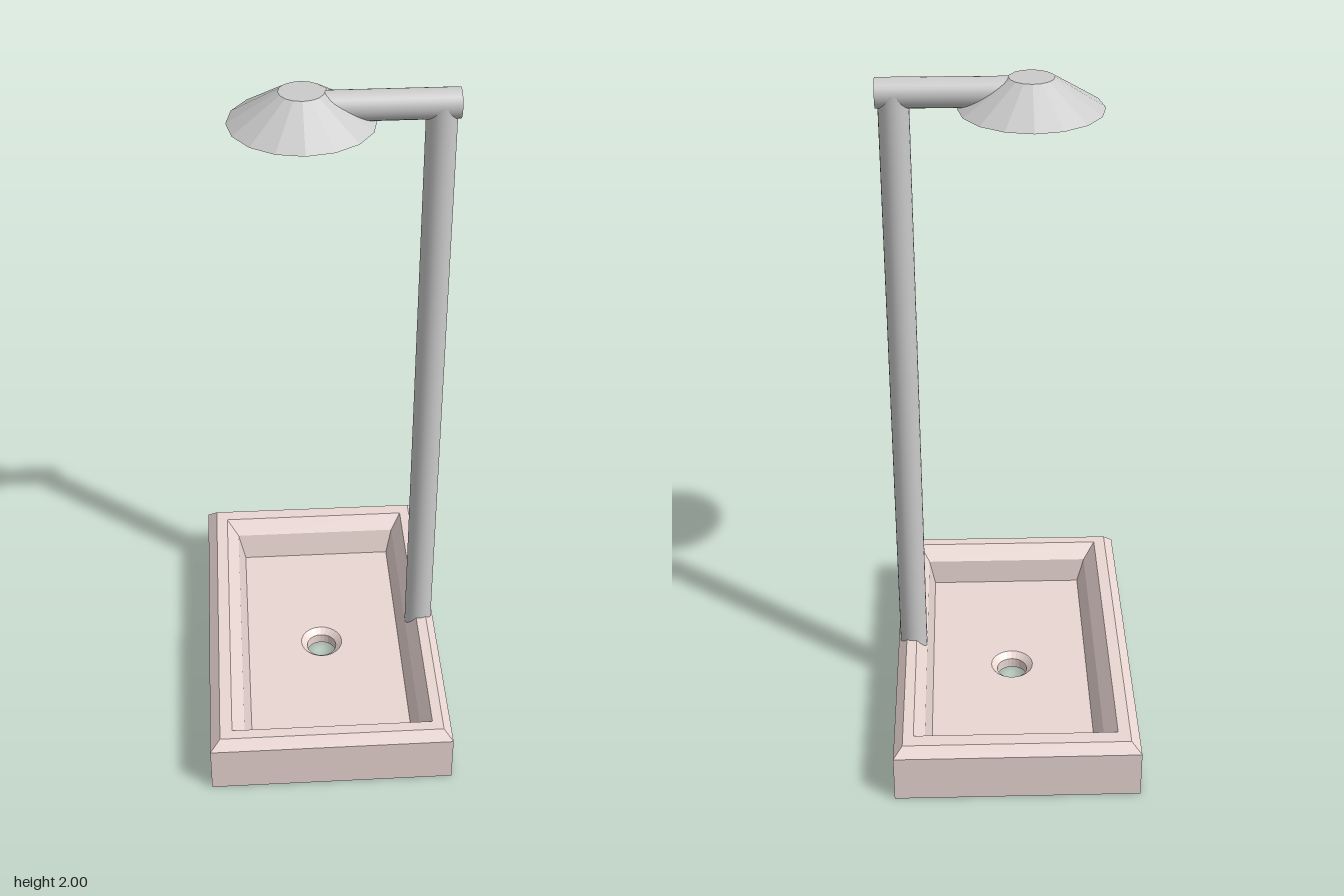
import * as THREE from 'three';

export function createModel() {
  const group = new THREE.Group();
  const metal = new THREE.MeshStandardMaterial({ color: 0xcccccc });
  const metalFlat = new THREE.MeshStandardMaterial({ color: 0xcccccc, flatShading: true });
  const stone = new THREE.MeshStandardMaterial({ color: 0xead7d3, flatShading: true, side: THREE.DoubleSide });

  const add = (name, geometry, material, x = 0, y = 0, z = 0) => {
    const mesh = new THREE.Mesh(geometry, material);
    mesh.name = name;
    mesh.position.set(x, y, z);
    group.add(mesh);
    return mesh;
  };

  // Tray shell: rectangular rings [x0, x1, z0, z1, y] from the ground, over the rim, down to the floor
  const rings = [
    [-0.363, 0.36, -0.547, 0.547, 0],
    [-0.363, 0.36, -0.547, 0.547, 0.15],
    [-0.333, 0.333, -0.522, 0.522, 0.18],
    [-0.297, 0.302, -0.48, 0.49, 0.18],
    [-0.26, 0.27, -0.445, 0.452, 0.135],
    [-0.238, 0.252, -0.427, 0.447, 0.05],
  ];
  const corners = ([x0, x1, z0, z1, y]) => [[x0, y, z1], [x1, y, z1], [x1, y, z0], [x0, y, z0]];
  const positions = [];
  for (let r = 0; r < rings.length - 1; r++) {
    const a = corners(rings[r]), b = corners(rings[r + 1]);
    for (let i = 0; i < 4; i++) {
      const j = (i + 1) % 4;
      positions.push(...a[i], ...a[j], ...b[j], ...a[i], ...b[j], ...b[i]);
    }
  }
  const shell = new THREE.BufferGeometry();
  shell.setAttribute('position', new THREE.Float32BufferAttribute(positions, 3));
  shell.computeVertexNormals();
  add('trayShell', shell, stone);

  // Flat panels with the round drain opening
  const panel = ([x0, x1, z0, z1], radius) => {
    const shape = new THREE.Shape();
    shape.moveTo(x0, -z1).lineTo(x1, -z1).lineTo(x1, -z0).lineTo(x0, -z0).closePath();
    shape.holes.push(new THREE.Path().absarc(0, 0, radius, 0, Math.PI * 2, true));
    return new THREE.ShapeGeometry(shape, 12);
  };
  add('trayFloor', panel(rings[5], 0.066).rotateX(-Math.PI / 2), stone, 0, 0.05);
  add('trayUnderside', panel(rings[0], 0.047).rotateX(Math.PI / 2), stone);

  // Drain: countersunk hole through the floor
  const drain = [[0.066, 0.05], [0.047, 0.033], [0.047, 0]].map(p => new THREE.Vector2(...p));
  add('drain', new THREE.LatheGeometry(drain, 24), stone);

  // Upright pipe and horizontal arm
  add('riserPipe', new THREE.CylinderGeometry(0.042, 0.042, 1.84, 24), metal, 0.312, 1.04, 0.005);
  add('showerArm', new THREE.CylinderGeometry(0.041, 0.041, 0.36, 24).rotateZ(Math.PI / 2), metal, 0.18, 1.959, 0.005);

  // Faceted shower head
  add('showerHead', new THREE.CylinderGeometry(0.061, 0.197, 0.085, 16), metalFlat, -0.052, 1.9575, 0);

  return group;
}
